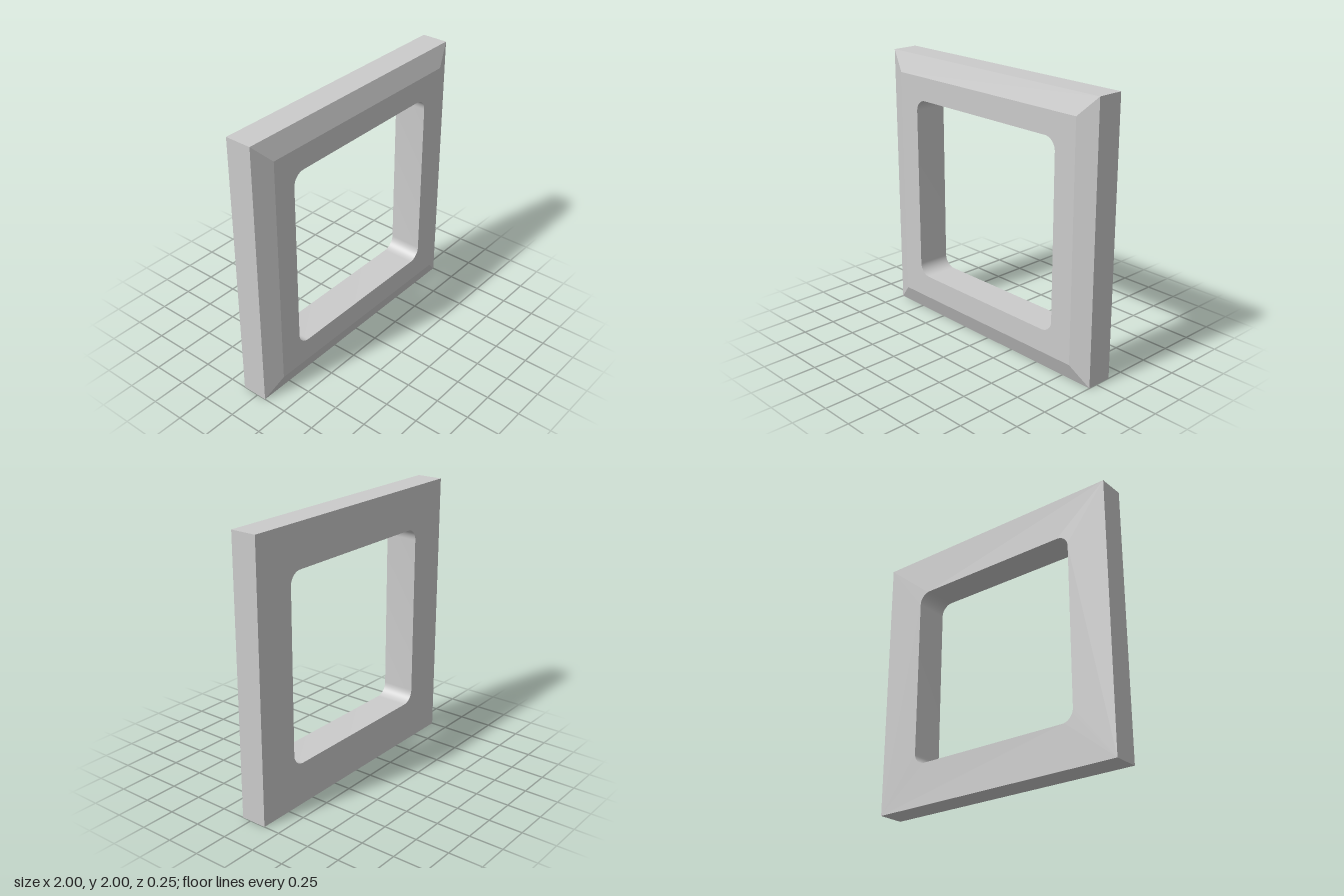
import * as THREE from 'three';
import { toCreasedNormals } from 'three/addons/utils/BufferGeometryUtils.js';

const HALF = 1, INSET = 0.14;             // outer half size and bevel width
const BACK = -0.125, RIM = 0.07, FRONT = 0.125;
const HOLE = 0.6875, RADIUS = 0.09;       // opening half size and corner radius
const SEGMENTS = 8;

const square = (h) => [[-h, -h], [h, -h], [h, h], [-h, h]].map(([x, y]) => new THREE.Vector2(x, y));

// Rounded square opening, counter-clockwise
function openingPath() {
  const path = new THREE.Path();
  const c = HOLE - RADIUS;
  [[c, c], [-c, c], [-c, -c], [c, -c]].forEach(([x, y], i) =>
    path.absarc(x, y, RADIUS, i * Math.PI / 2, (i + 1) * Math.PI / 2, false));
  return path;
}

// Flat square plate with the opening cut out, facing +z
function plate(half) {
  const shape = new THREE.Shape(square(half));
  shape.holes.push(openingPath());
  return new THREE.ShapeGeometry(shape, SEGMENTS);
}

// Closed band of quads between successive loops [points, z]
function band(loops) {
  const pos = [];
  for (let k = 0; k < loops.length - 1; k++) {
    const [p, z0] = loops[k], [q, z1] = loops[k + 1];
    for (let i = 0; i < p.length; i++) {
      const j = (i + 1) % p.length;
      const a = [p[i].x, p[i].y, z0], b = [p[j].x, p[j].y, z0];
      const c = [q[j].x, q[j].y, z1], d = [q[i].x, q[i].y, z1];
      pos.push(...a, ...b, ...c, ...a, ...c, ...d);
    }
  }
  const geometry = new THREE.BufferGeometry();
  geometry.setAttribute('position', new THREE.Float32BufferAttribute(pos, 3));
  return toCreasedNormals(geometry, 0.3);
}

export function createModel() {
  const group = new THREE.Group();
  group.name = 'squareFrame';
  const material = new THREE.MeshStandardMaterial({ color: 0xcccccc });
  const add = (name, geometry) => {
    const mesh = new THREE.Mesh(geometry, material);
    mesh.name = name;
    mesh.position.y = HALF;
    group.add(mesh);
  };

  // Front and back faces
  add('frontFace', plate(HALF - INSET).translate(0, 0, FRONT));
  add('backFace', plate(HALF).rotateY(Math.PI).translate(0, 0, BACK));

  // Straight outer edge and sloping front bevel
  add('outerEdge', band([[square(HALF), BACK], [square(HALF), RIM]]));
  add('frontBevel', band([[square(HALF), RIM], [square(HALF - INSET), FRONT]]));

  // Inner wall, running front to back so that it faces the opening
  const opening = openingPath().getPoints(SEGMENTS);
  add('openingWall', band([[opening, FRONT], [opening, BACK]]));
  return group;
}
